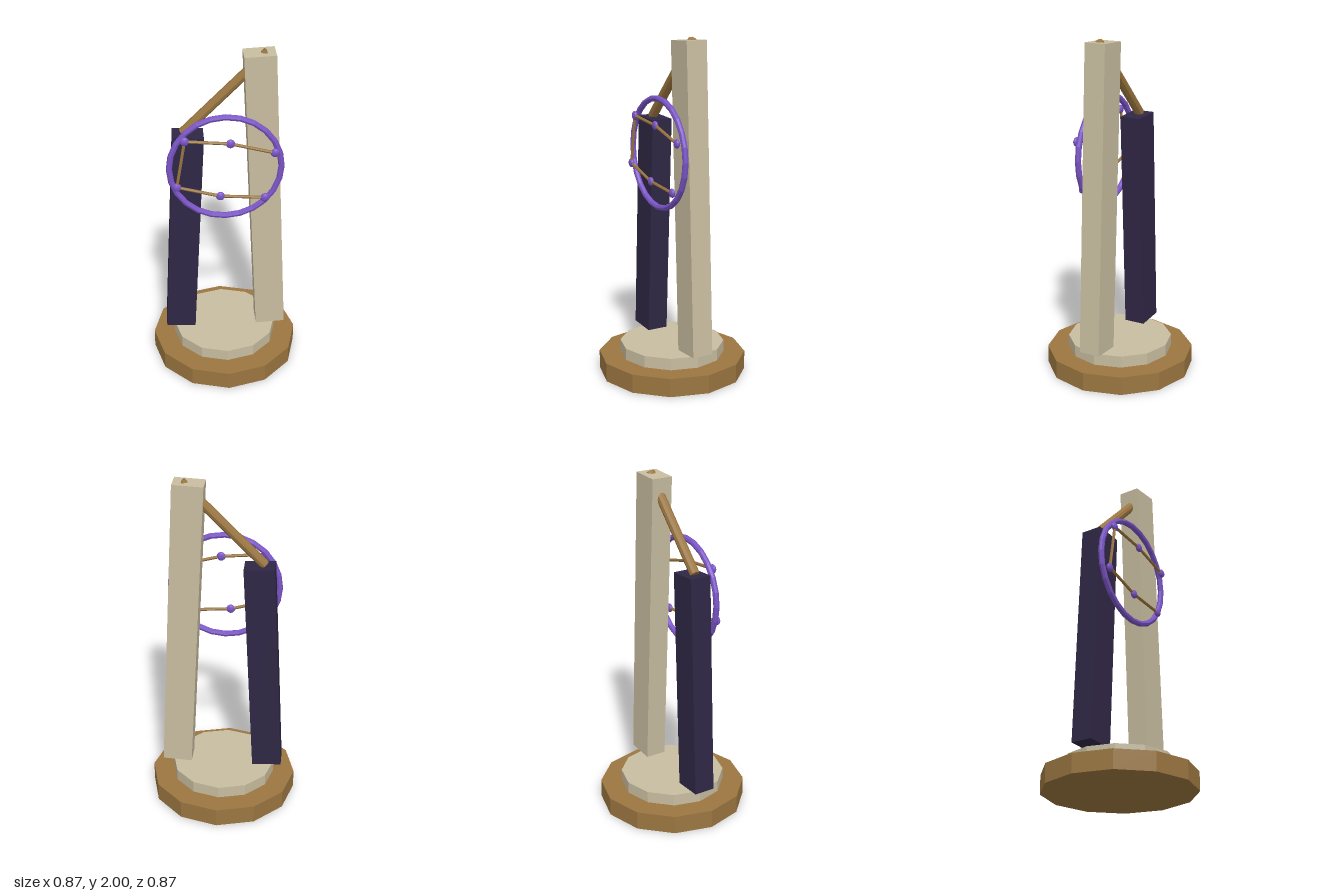
import * as THREE from 'three';

const mat = (color) => new THREE.MeshStandardMaterial({ color, flatShading: true });

export function createModel() {
  const group = new THREE.Group();
  const brown = mat(0x9b7640);
  const cream = mat(0xc8bda0);
  const indigo = mat(0x2f2745);
  const violet = mat(0x7b55c7);

  const add = (name, geometry, material, x, y, z) => {
    const mesh = new THREE.Mesh(geometry, material);
    mesh.name = name;
    mesh.position.set(x, y, z);
    group.add(mesh);
    return mesh;
  };

  // Round bar between two points
  const bar = (name, a, b, radius, sides, material) => {
    const dir = b.clone().sub(a);
    const mid = a.clone().add(b).multiplyScalar(0.5);
    const mesh = add(name, new THREE.CylinderGeometry(radius, radius, dir.length(), sides), material, mid.x, mid.y, mid.z);
    mesh.quaternion.setFromUnitVectors(new THREE.Vector3(0, 1, 0), dir.normalize());
  };

  // Two-step twelve-sided base
  add('base', new THREE.CylinderGeometry(0.437, 0.437, 0.11, 12), brown, 0, 0.055, 0);
  add('plinth', new THREE.CylinderGeometry(0.31, 0.31, 0.07, 12), cream, 0, 0.145, 0);

  // Leaning pillars
  add('shortPillar', new THREE.BoxGeometry(0.175, 1.31, 0.126), indigo, -0.237, 0.85, 0).rotation.z = -0.05;
  add('tallPillar', new THREE.BoxGeometry(0.175, 1.787, 0.126), cream, 0.234, 1.088, 0).rotation.z = 0.05;

  // Diagonal strut joining the pillar tops
  bar('strut', new THREE.Vector3(-0.233, 1.51, 0), new THREE.Vector3(0.233, 1.98, 0), 0.028, 10, brown);

  // Ring in front of the pillars
  add('ring', new THREE.TorusGeometry(0.316, 0.0175, 8, 24), violet, 0, 1.327, 0.09);

  // Flattened beads linked by thin rods
  const beads = [
    [-0.227, 1.518], [0.026, 1.495], [0.275, 1.429],
    [-0.275, 1.228], [-0.03, 1.161], [0.222, 1.142],
  ].map(([x, y]) => new THREE.Vector3(x, y, 0.1225));
  const beadGeometry = new THREE.SphereGeometry(0.026, 10, 8);
  beads.forEach((p, i) => {
    add(`bead${i + 1}`, beadGeometry, violet, p.x, p.y, p.z).scale.z = 0.6;
  });
  [[0, 1], [1, 2], [0, 3], [3, 4], [4, 5]].forEach(([a, b], i) => {
    bar(`rod${i + 1}`, beads[a], beads[b], 0.009, 6, brown);
  });

  return group;
}
